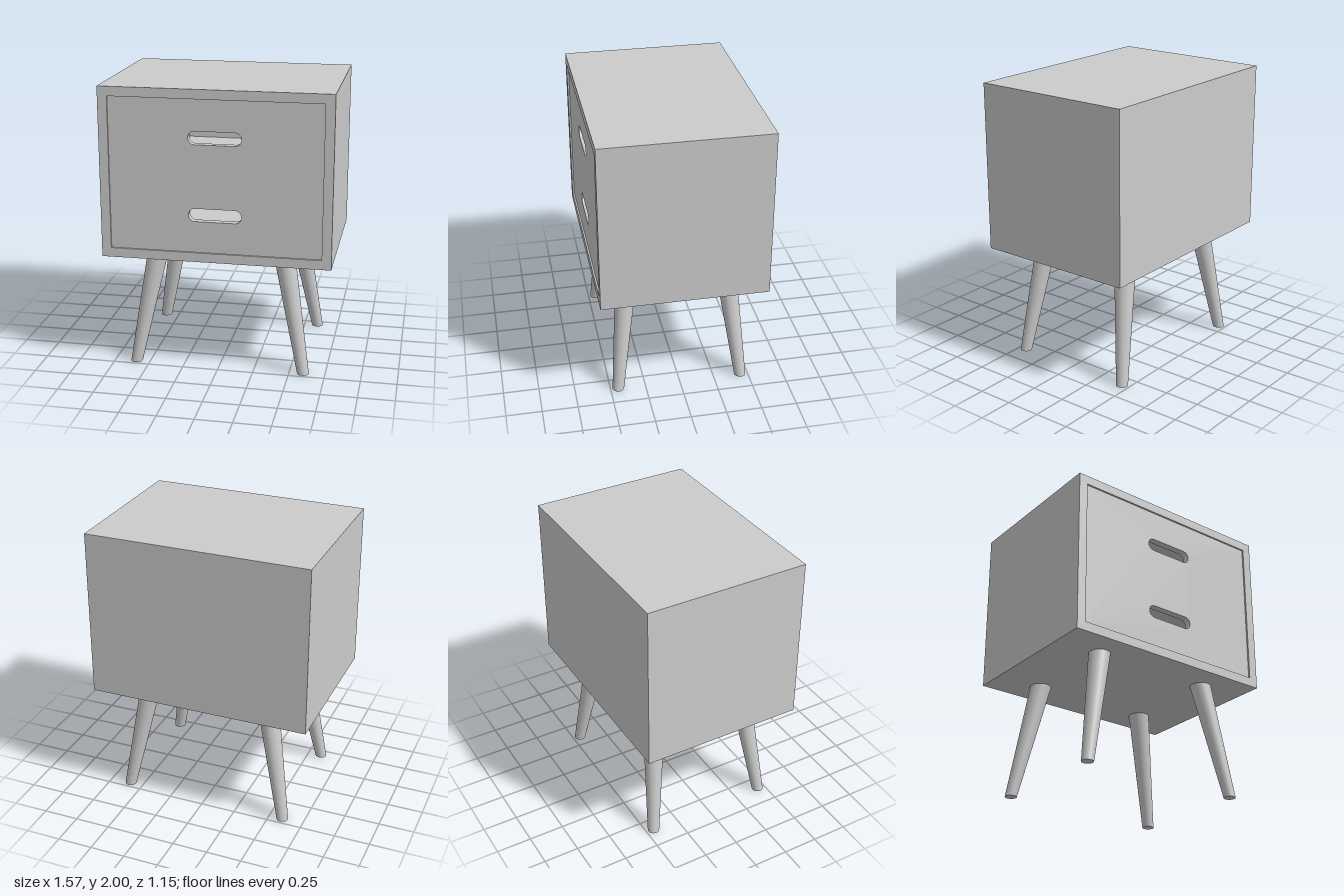
import * as THREE from 'three';

const material = new THREE.MeshStandardMaterial({ color: 0xcccccc });
const W = 1.572, D = 1.15, BOTTOM = 0.82, TOP = 2, WALL = 0.065;
const BACK = 0.04, FRONT = 0.05, RECESS = 0.012;
const MID = (BOTTOM + TOP) / 2;
const INNER_W = W - 2 * WALL, INNER_H = TOP - BOTTOM - 2 * WALL;

function add(parent, name, geometry, x = 0, y = 0, z = 0) {
  const mesh = new THREE.Mesh(geometry, material);
  mesh.name = name;
  mesh.position.set(x, y, z);
  parent.add(mesh);
  return mesh;
}

// Rectangle centred on the origin, as a Shape or a hole Path
function rectangle(Type, w, h) {
  return new Type([[-1, -1], [1, -1], [1, 1], [-1, 1]]
    .map(([x, y]) => new THREE.Vector2(x * w / 2, y * h / 2)));
}

// Rounded finger slot centred at height y
function slot(y, halfLength, radius) {
  const path = new THREE.Path();
  const c = halfLength - radius;
  path.absarc(c, y, radius, -Math.PI / 2, Math.PI / 2);
  path.absarc(-c, y, radius, Math.PI / 2, Math.PI * 1.5);
  path.closePath();
  return path;
}

const extrude = (shape, depth) =>
  new THREE.ExtrudeGeometry(shape, { depth, bevelEnabled: false, curveSegments: 16 });

// Tapered leg whose ends stay level while the axis leans from top to foot
function legGeometry(sx, sz) {
  const geometry = new THREE.CylinderGeometry(0.074, 0.041, BOTTOM, 32);
  geometry.translate(0, BOTTOM / 2, 0);
  const leanX = sx * (0.445 - 0.597) / BOTTOM;
  const leanZ = sz * (0.352 - 0.444) / BOTTOM;
  geometry.applyMatrix4(new THREE.Matrix4().set(
    1, leanX, 0, sx * 0.597,
    0, 1, 0, 0,
    0, leanZ, 1, sz * 0.444,
    0, 0, 0, 1));
  return geometry;
}

export function createModel() {
  const model = new THREE.Group();
  model.name = 'nightstand';

  // Open case: top, bottom and sides in one piece, closed by a back panel
  const cabinet = new THREE.Group();
  cabinet.name = 'cabinet';
  model.add(cabinet);
  const frame = rectangle(THREE.Shape, W, TOP - BOTTOM);
  frame.holes.push(rectangle(THREE.Path, INNER_W, INNER_H));
  add(cabinet, 'case', extrude(frame, D - BACK), 0, MID, -D / 2 + BACK);
  add(cabinet, 'backPanel', new THREE.BoxGeometry(W, TOP - BOTTOM, BACK), 0, MID, -D / 2 + BACK / 2);

  // Slightly recessed front with a finger slot for each drawer
  const front = rectangle(THREE.Shape, INNER_W, INNER_H);
  for (const y of [1.147, 1.675]) front.holes.push(slot(y - MID, 0.18, 0.045));
  add(cabinet, 'drawerFront', extrude(front, FRONT), 0, MID, D / 2 - RECESS - FRONT);

  // Floor of the upper drawer
  const shelfDepth = D - BACK - FRONT - RECESS;
  add(cabinet, 'drawerFloor', new THREE.BoxGeometry(INNER_W, 0.03, shelfDepth),
    0, MID, -D / 2 + BACK + shelfDepth / 2);

  // Four splayed legs
  for (const sx of [-1, 1]) for (const sz of [-1, 1]) {
    add(model, `${sz > 0 ? 'front' : 'back'}${sx > 0 ? 'Left' : 'Right'}Leg`, legGeometry(sx, sz));
  }
  return model;
}
